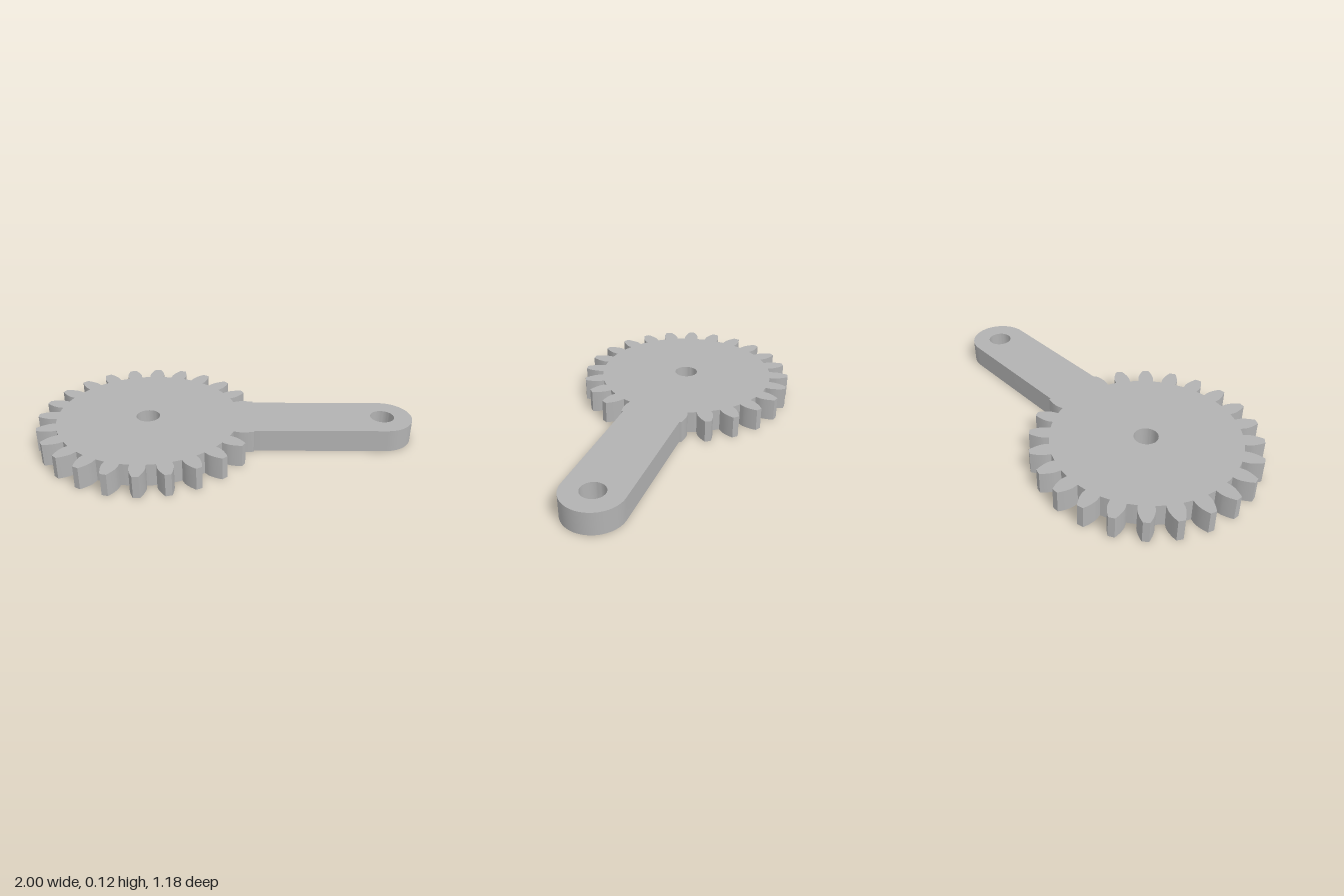
import * as THREE from 'three';
import { toCreasedNormals } from 'three/addons/utils/BufferGeometryUtils.js';

const TEETH = 24, TIP = 0.588, PITCH = 0.543, ROOT = 0.486, BASE = PITCH * Math.cos(Math.PI / 9);
const GEAR_X = -0.412, ARM_END = 0.843, ARM_HALF = 0.157, HOLE = 0.063, THICKNESS = 0.12;

// Half the angular width of an involute tooth at radius r
const involute = (a) => Math.tan(a) - a;
const halfAngle = (r) =>
  Math.PI / (2 * TEETH) + involute(Math.PI / 9) - involute(Math.acos(Math.min(1, BASE / r)));

function leverOutline() {
  const points = [];
  const polar = (r, a) => points.push(new THREE.Vector2(GEAR_X + r * Math.cos(a), r * Math.sin(a)));
  const flank = [ROOT, BASE, 0.518, 0.53, PITCH, 0.557, 0.573, TIP];
  const step = (2 * Math.PI) / TEETH;
  const join = Math.asin(ARM_HALF / TIP);

  // Teeth all the way round; the first and last merge into the arm
  for (let k = 1; k < TEETH; k++) {
    const a = k * step;
    if (k === 1) polar(TIP, join);
    else flank.forEach((r) => polar(r, a - halfAngle(r)));
    if (k === TEETH - 1) polar(TIP, -join);
    else [...flank].reverse().forEach((r) => polar(r, a + halfAngle(r)));
    if (k < TEETH - 1) polar(ROOT, a + step / 2);
  }

  // Rounded end of the arm
  for (let i = 0; i <= 32; i++) {
    const a = -Math.PI / 2 + (i / 32) * Math.PI;
    points.push(new THREE.Vector2(ARM_END + ARM_HALF * Math.cos(a), ARM_HALF * Math.sin(a)));
  }
  return new THREE.Shape(points);
}

export function createModel() {
  const group = new THREE.Group();
  const grey = new THREE.MeshStandardMaterial({ color: 0xb2b2b2 });
  grey.name = 'grey';

  // Gear and arm in one plate, with a pivot hole in each
  const outline = leverOutline();
  for (const x of [GEAR_X, ARM_END]) {
    outline.holes.push(new THREE.Path().absarc(x, 0, HOLE, 0, 2 * Math.PI, true));
  }
  const geometry = new THREE.ExtrudeGeometry(outline, {
    depth: THICKNESS, bevelEnabled: false, curveSegments: 24,
  });
  geometry.rotateX(-Math.PI / 2);

  const lever = new THREE.Mesh(toCreasedNormals(geometry, 0.5), grey);
  lever.name = 'gearWithArm';
  group.add(lever);
  return group;
}
